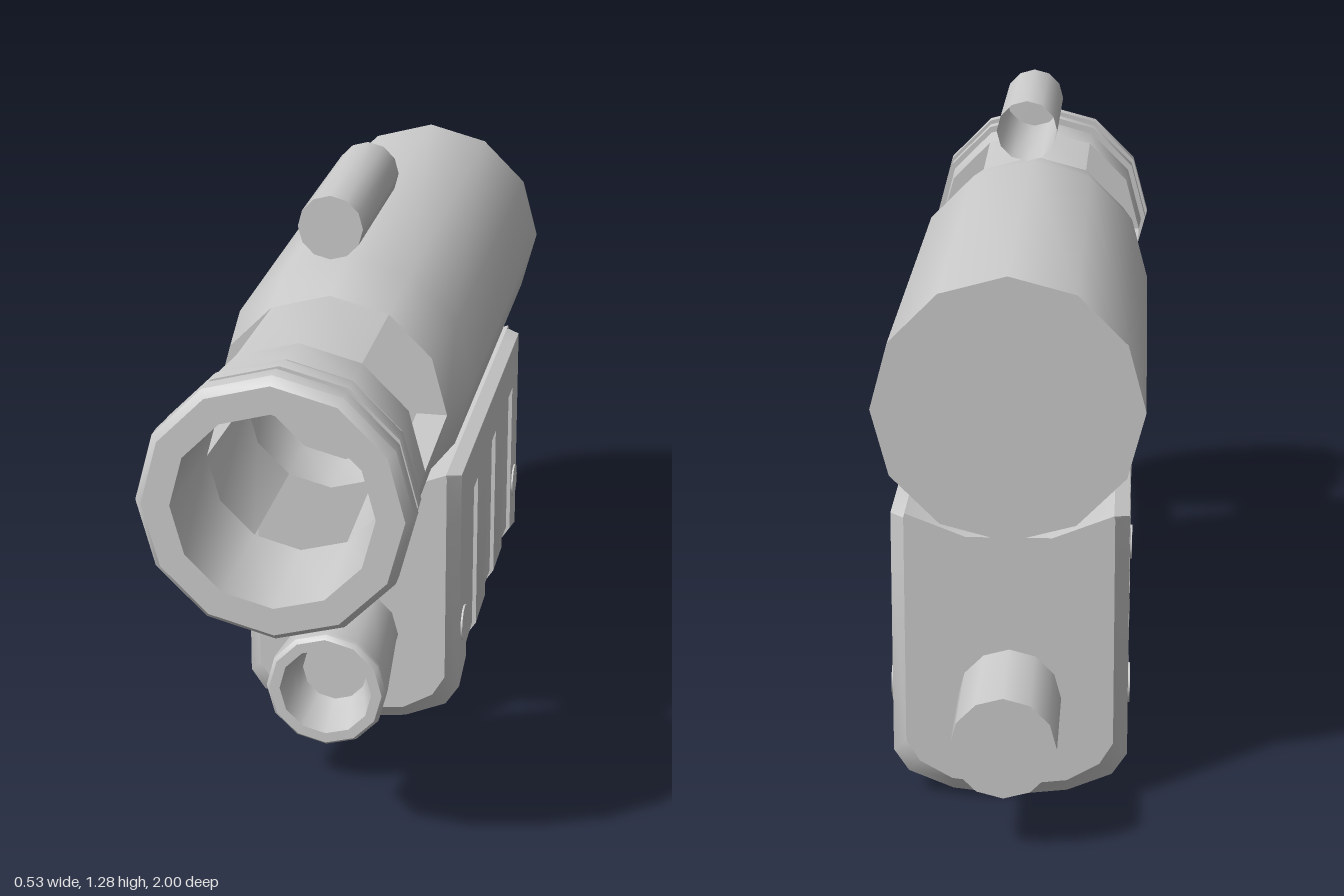
import * as THREE from 'three';
import { toCreasedNormals } from 'three/addons/utils/BufferGeometryUtils.js';

const SIDES = 12;
const grey = new THREE.MeshStandardMaterial({ color: 0xcccccc });
const greyDouble = new THREE.MeshStandardMaterial({ color: 0xcccccc, side: THREE.DoubleSide });

function part(name, geometry, material = grey) {
  const mesh = new THREE.Mesh(geometry, material);
  mesh.name = name;
  return mesh;
}

// Turned part along z; profile is [radius, z] pairs
function turned(profile, start = 0, length = Math.PI * 2, segments = SIDES) {
  const points = profile.map(([r, z]) => new THREE.Vector2(r, z));
  const geo = new THREE.LatheGeometry(points, segments, start, length);
  geo.rotateX(Math.PI / 2);
  return toCreasedNormals(geo, 0.6);
}

// Main barrel: closed rear, ringed muzzle, three ribs with windows between
function barrel() {
  const group = new THREE.Group();
  group.name = 'barrel';
  group.position.y = 0.84;
  group.add(part('barrelBody', turned([
    [0, -0.8], [0.265, -0.8], [0.265, 0.27], [0.24, 0.45], [0.177, 0.45], [0.174, 0.3], [0, 0.3],
  ])));
  group.add(part('muzzle', turned([
    [0.185, 0.75], [0.245, 0.75], [0.25, 0.856], [0.223, 0.856], [0.223, 0.883],
    [0.26, 0.883], [0.26, 0.92], [0.223, 0.92], [0.223, 0.947], [0.265, 0.947],
    [0.265, 0.982], [0.25, 1], [0.195, 1], [0.185, 0.75],
  ])));
  const rib = [[0.24, 0.45], [0.245, 0.75], [0.185, 0.75], [0.177, 0.45]];
  const ribShape = new THREE.Shape(rib.map(([r, z]) => new THREE.Vector2(r, z)));
  for (let i = 0; i < 3; i++) {
    const start = Math.PI / 6 + i * Math.PI * 2 / 3;
    group.add(part('windowRib', turned([...rib, rib[0]], start, Math.PI / 3, 2)));
    for (const phi of [start, start + Math.PI / 3]) {
      const side = new THREE.ShapeGeometry(ribShape);
      side.rotateY(phi - Math.PI / 2).rotateX(Math.PI / 2);
      group.add(part('ribSide', side, greyDouble));
    }
  }
  return group;
}

// Half cross-section of the lower housing, from top centre to bottom centre
function housingHalf(lift, inset, recess) {
  const k = 1 - recess / 0.235;
  const edge = inset ? 0.207 : 0.235;
  const upper = [[0, 0.568], [0.085, 0.568], [0.205, 0.615], [edge, 0.606], [edge, 0.5]];
  const base = inset ? 0.035 : 0;
  const lower = [[edge, 0.5], [edge, 0.1], [inset ? 0.18 : 0.205, 0.055], [0.115, 0.018], [0, 0.005]]
    .map(([x, y], i) => [x * k, i === 0 ? y : y + lift + base + (i > 1 ? recess : 0)]);
  return [...upper, ...lower];
}

// Housing lofted along z, with shallow panels wrapping its sides and underside
function housingGeometry() {
  const D = 0.009;
  const stations = [[0.23, 0, 1, 0], [0.2, 0, 0, 0]];
  for (const [front, back, l0, l1] of [
    [0.1, -0.05, 0.026, 0.037], [-0.195, -0.335, 0.04, 0.04], [-0.48, -0.625, 0.037, 0.026],
  ]) {
    stations.push([front, l0, 0, 0], [front, l0, 0, D], [back, l1, 0, D], [back, l1, 0, 0]);
  }
  stations.push([-0.725, 0, 0, 0], [-0.755, 0, 1, 0]);

  const positions = [], index = [];
  let n = 0;
  for (const [z, lift, inset, recess] of stations) {
    const half = housingHalf(lift, inset, recess);
    const mirrored = half.slice(1, -1).reverse().map(([x, y]) => [-x, y]);
    const ring = [...half, ...mirrored];
    n = ring.length;
    for (const [x, y] of ring) positions.push(x, y, z);
  }
  const last = stations.length - 1;
  for (let i = 0; i < last; i++) {
    for (let j = 0; j < n; j++) {
      const a = i * n + j, b = i * n + (j + 1) % n;
      index.push(a, b, b + n, a, b + n, a + n);
    }
  }
  // End faces
  const centre = positions.length / 3;
  positions.push(0, 0.3, stations[0][0], 0, 0.3, stations[last][0]);
  for (let j = 0; j < n; j++) {
    const k = (j + 1) % n;
    index.push(centre, k, j, centre + 1, last * n + j, last * n + k);
  }
  const geo = new THREE.BufferGeometry();
  geo.setAttribute('position', new THREE.Float32BufferAttribute(positions, 3));
  geo.setIndex(index);
  return toCreasedNormals(geo, 0.6);
}

export function createModel() {
  const model = new THREE.Group();
  model.name = 'twinBarrelDevice';
  model.add(barrel());
  model.add(part('housing', housingGeometry()));

  // Lower tube with flared, hollow nozzle
  const tube = part('lowerTube', turned([
    [0, -1], [0.103, -1], [0.103, 0.25], [0.128, 0.5], [0.128, 0.515], [0.12, 0.525],
    [0.098, 0.525], [0.082, 0.46], [0.07, 0.42], [0, 0.42],
  ]));
  tube.position.y = 0.23;
  model.add(tube);

  // Small top tube, open at the back
  const sight = part('topTube', turned([[0.066, 0.035], [0.066, 0.443], [0, 0.443]]), greyDouble);
  sight.position.y = 1.22;
  model.add(sight);

  // Side screws
  const screw = toCreasedNormals(new THREE.CylinderGeometry(0.04, 0.04, 0.02, SIDES).rotateZ(Math.PI / 2), 0.6);
  for (const side of [-1, 1]) {
    for (const z of [0.152, -0.677]) {
      const mesh = part('sideScrew', screw);
      mesh.position.set(side * 0.229, 0.235, z);
      model.add(mesh);
    }
  }
  return model;
}
